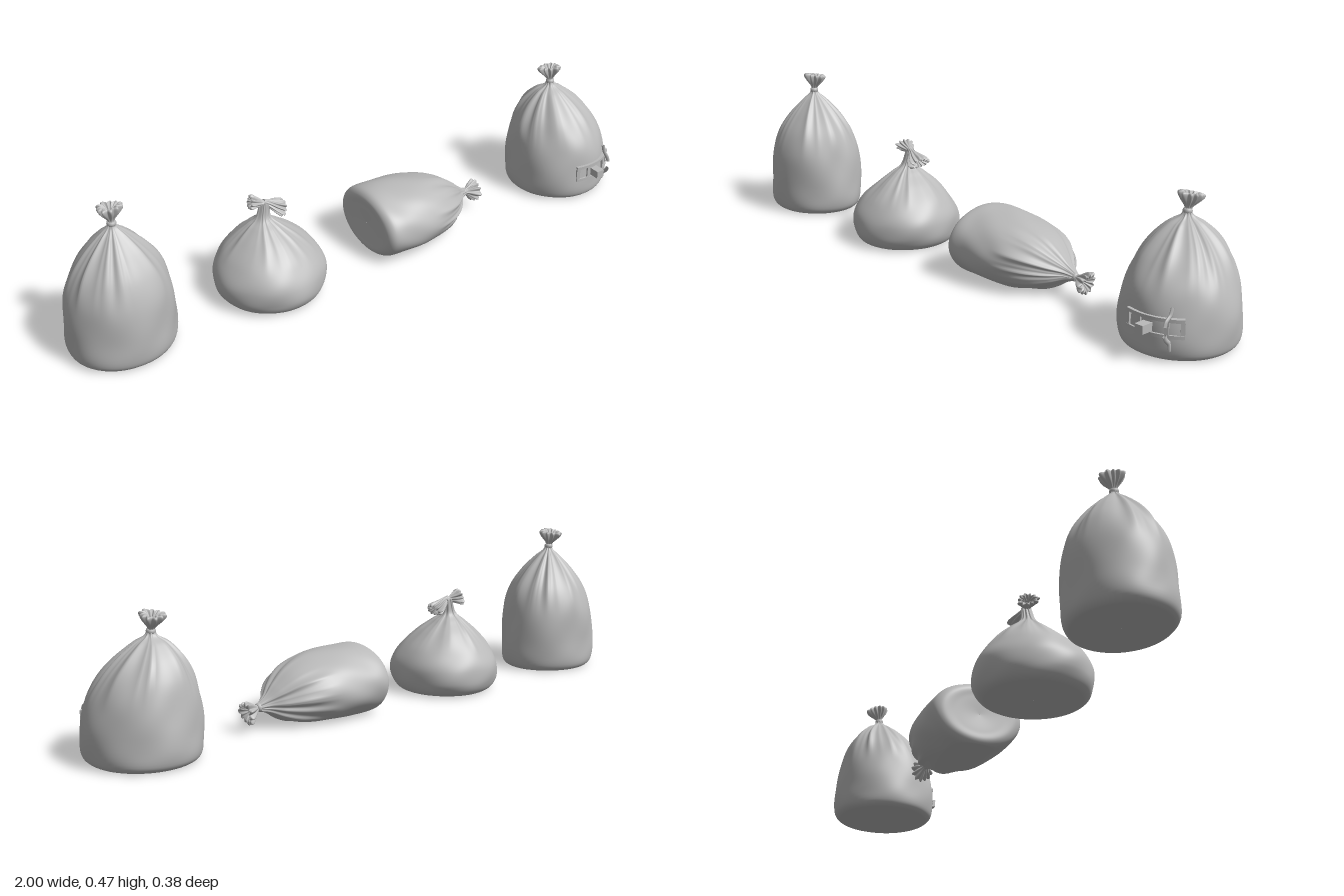
import * as THREE from 'three';

const grey = new THREE.MeshStandardMaterial({ color: 0xbababa, side: THREE.DoubleSide });
grey.name = 'grey plastic';

function add(parent, geo, name) {
  const m = new THREE.Mesh(geo, grey);
  m.name = name;
  parent.add(m);
  return m;
}

// Lofted tube. Each ring is [height, centre u, centre v, radius u, radius v];
// shape(angle, t, h) returns a radius factor for folds and dents.
function loft(rings, rows, cols, shape) {
  const size = new THREE.CatmullRomCurve3(rings.map(r => new THREE.Vector3(r[0], r[3], r[4])));
  const mid = new THREE.CatmullRomCurve3(rings.map(r => new THREE.Vector3(r[1], r[2], r[0])));
  const pos = [], idx = [];
  for (let i = 0; i <= rows; i++) {
    const t = i / rows, s = size.getPoint(t), c = mid.getPoint(t);
    for (let j = 0; j < cols; j++) {
      const a = j / cols * Math.PI * 2, k = shape(a, t, s.x);
      pos.push(c.x + Math.cos(a) * s.y * k, s.x, c.y + Math.sin(a) * s.z * k);
      if (i < rows) {
        const p = i * cols + j, q = i * cols + (j + 1) % cols;
        idx.push(p, p + cols, q, q, p + cols, q + cols);
      }
    }
  }
  const g = new THREE.BufferGeometry();
  g.setAttribute('position', new THREE.Float32BufferAttribute(pos, 3));
  g.setIndex(idx);
  return g;
}

// Filled sack with soft dents below and gathered pleats towards the neck
function sackGeometry(rings, seed, lying = false) {
  const h0 = rings[0][0], h1 = rings[rings.length - 1][0];
  const g = loft(rings, 72, 144, (a, t, h) => {
    const s = (h - h0) / (h1 - h0);
    const w = THREE.MathUtils.smoothstep(s, 0.42, 1);
    const p = a + 0.18 * Math.sin(2 * a + seed) + 0.08 * Math.sin(5 * a + seed * 2);
    const fold = 0.62 - Math.abs(Math.sin(p * 5 + seed)) + 0.4 * (0.62 - Math.abs(Math.sin(p * 8.5 + seed * 3)));
    const dent = Math.sin(3 * a + 7 * s + seed) + 0.7 * Math.sin(5 * a - 11 * s + seed * 2)
      + 0.5 * Math.sin(8 * a + 15 * s + seed * 3);
    return 1 + 0.17 * w * fold + 0.011 * dent * (1 - w) * Math.min(1, s * 6 + 0.2);
  });
  if (lying) g.rotateZ(-Math.PI / 2);
  const pos = g.attributes.position;
  for (let i = 0; i < pos.count; i++) pos.setY(i, Math.max(0, pos.getY(i)));
  g.computeVertexNormals();
  return g;
}

// Ruffled plastic that fans out beyond the tie, folded back inside
function tuft(parent, at, dir, len, wide, seed, deep = wide) {
  const g = loft([
    [0, 0, 0, 0.009, 0.009], [len * 0.2, 0, 0, 0.011, 0.011], [len * 0.6, 0, 0, wide * 0.8, deep * 0.8],
    [len * 0.9, 0, 0, wide, deep], [len, 0, 0, wide * 0.85, deep * 0.85],
    [len * 0.85, 0, 0, wide * 0.5, deep * 0.5], [len * 0.5, 0, 0, 0.003, 0.003]
  ], 24, 132, (a, t) => 1 + Math.min(1, t * 2.5) *
    (0.17 * Math.sin(11 * a + seed + Math.sin(2 * a)) + 0.1 * Math.sin(3 * a + seed)));
  g.computeVertexNormals();
  const m = add(parent, g, 'ruffledTop');
  m.position.set(...at);
  m.quaternion.setFromUnitVectors(new THREE.Vector3(0, 1, 0), new THREE.Vector3(...dir).normalize());
}

// Tie wound round the neck
function tie(parent, at, dir) {
  const g = new THREE.TorusGeometry(0.0095, 0.0045, 8, 28);
  g.scale(1, 1, 1.7);
  const m = add(parent, g, 'neckTie');
  m.position.set(...at);
  m.quaternion.setFromUnitVectors(new THREE.Vector3(0, 0, 1), new THREE.Vector3(...dir).normalize());
}

function newBag(root, name) {
  const b = new THREE.Group();
  b.name = name;
  root.add(b);
  return b;
}

// Raised curl of plastic in the z-y plane, given its centre line
function curl(parent, x, pts) {
  const c = new THREE.CatmullRomCurve3(pts.map(([z, y]) => new THREE.Vector3(x, y, z)));
  const g = new THREE.TubeGeometry(c, 16, 0.007, 6);
  g.translate(-x, 0, 0).scale(0.6, 1, 1).translate(x, 0, 0);
  add(parent, g, 'raisedCurl');
}

export function createModel() {
  const root = new THREE.Group();
  root.name = 'tiedBags';

  // Tall bag
  const tall = newBag(root, 'tallBag');
  add(tall, sackGeometry([
    [0, -0.835, -0.012, 0.001, 0.001], [0, -0.835, -0.012, 0.09, 0.08], [0, -0.835, -0.012, 0.145, 0.132],
    [0.02, -0.835, -0.012, 0.163, 0.148], [0.1, -0.833, -0.012, 0.165, 0.151], [0.2, -0.832, -0.012, 0.153, 0.147],
    [0.27, -0.83, -0.012, 0.128, 0.124], [0.33, -0.83, -0.012, 0.087, 0.085],
    [0.38, -0.83, -0.012, 0.04, 0.04], [0.405, -0.83, -0.012, 0.014, 0.014], [0.42, -0.83, -0.012, 0.01, 0.01]
  ], 1.3), 'sack');
  tie(tall, [-0.83, 0.414, -0.012], [0, 1, 0]);
  tuft(tall, [-0.83, 0.414, -0.012], [0, 1, -0.15], 0.054, 0.033, 1);

  // Squat bag with a drooping top
  const squat = newBag(root, 'squatBag');
  add(squat, sackGeometry([
    [0, -0.335, -0.01, 0.001, 0.001], [0, -0.335, -0.01, 0.08, 0.08], [0, -0.335, -0.01, 0.14, 0.143],
    [0.015, -0.335, -0.01, 0.16, 0.165], [0.045, -0.335, -0.01, 0.172, 0.177], [0.09, -0.335, -0.01, 0.171, 0.174],
    [0.14, -0.335, -0.012, 0.143, 0.145], [0.19, -0.335, -0.018, 0.093, 0.097],
    [0.225, -0.338, -0.022, 0.05, 0.052], [0.25, -0.338, -0.025, 0.022, 0.022], [0.295, -0.33, -0.028, 0.014, 0.014]
  ], 4.1), 'sack');
  tie(squat, [-0.336, 0.268, -0.026], [0.15, 1, 0]);
  tuft(squat, [-0.333, 0.292, -0.028], [-0.85, 0.2, -0.3], 0.045, 0.02, 2, 0.03);
  tuft(squat, [-0.335, 0.298, -0.028], [0.85, -0.5, 0.1], 0.072, 0.019, 5, 0.034);

  // Bag lying on its side, neck towards +x (ring u is minus height)
  const lying = newBag(root, 'lyingBag');
  add(lying, sackGeometry([
    [0.03, -0.098, -0.012, 0.001, 0.001], [0.026, -0.098, -0.012, 0.06, 0.08], [0.027, -0.098, -0.012, 0.09, 0.128],
    [0.045, -0.098, -0.012, 0.105, 0.148], [0.11, -0.097, -0.012, 0.108, 0.152], [0.19, -0.094, -0.012, 0.106, 0.149],
    [0.26, -0.09, -0.013, 0.097, 0.135], [0.32, -0.085, -0.015, 0.079, 0.107],
    [0.37, -0.078, -0.018, 0.05, 0.066], [0.405, -0.073, -0.02, 0.024, 0.028], [0.435, -0.068, -0.02, 0.01, 0.01]
  ], 2.6, true), 'sack');
  tie(lying, [0.43, 0.068, -0.02], [1, -0.2, 0]);
  tuft(lying, [0.43, 0.068, -0.02], [1, -0.2, 0], 0.051, 0.032, 3);

  // Bag with a raised patch on its front
  const patched = newBag(root, 'patchedBag');
  add(patched, sackGeometry([
    [0, 0.828, -0.018, 0.001, 0.001], [0, 0.828, -0.018, 0.09, 0.09], [0, 0.828, -0.018, 0.148, 0.15],
    [0.018, 0.828, -0.018, 0.166, 0.169], [0.1, 0.828, -0.018, 0.169, 0.171], [0.18, 0.825, -0.022, 0.154, 0.158],
    [0.24, 0.82, -0.033, 0.128, 0.132], [0.29, 0.815, -0.043, 0.091, 0.095],
    [0.33, 0.81, -0.048, 0.048, 0.05], [0.352, 0.81, -0.05, 0.016, 0.016], [0.37, 0.81, -0.052, 0.01, 0.01]
  ], 5.7), 'sack');
  tie(patched, [0.81, 0.362, -0.051], [0, 1, -0.15]);
  tuft(patched, [0.81, 0.362, -0.051], [0, 1, -0.2], 0.052, 0.033, 4);

  // Curved strips hugging the front, short bars between them and a tab
  for (const y of [0.072, 0.118]) {
    const s = new THREE.Shape();
    s.absarc(0, 0, 0.177, 0.82, 1.85, false);
    s.absarc(0, 0, 0.16, 1.85, 0.82, true);
    const g = new THREE.ExtrudeGeometry(s, { depth: 0.01, bevelEnabled: false, curveSegments: 20 });
    g.rotateX(Math.PI / 2).translate(0.828, y + 0.01, -0.018);
    add(patched, g, 'raisedStrip');
  }
  for (const a of [0.85, 1.1, 1.58, 1.82]) {
    const bar = add(patched, new THREE.BoxGeometry(0.012, 0.04, 0.014), 'raisedBar');
    bar.position.set(0.828 + Math.cos(a) * 0.169, 0.1, -0.018 + Math.sin(a) * 0.169);
    bar.rotation.y = Math.PI / 2 - a;
  }
  add(patched, new THREE.BoxGeometry(0.028, 0.025, 0.04), 'tab').position.set(0.853, 0.096, 0.167);
  curl(patched, 0.915, [[0.125, 0.158], [0.133, 0.138], [0.15, 0.123], [0.155, 0.11]]);
  curl(patched, 0.915, [[0.155, 0.085], [0.148, 0.072], [0.135, 0.058], [0.128, 0.036]]);
  return root;
}
